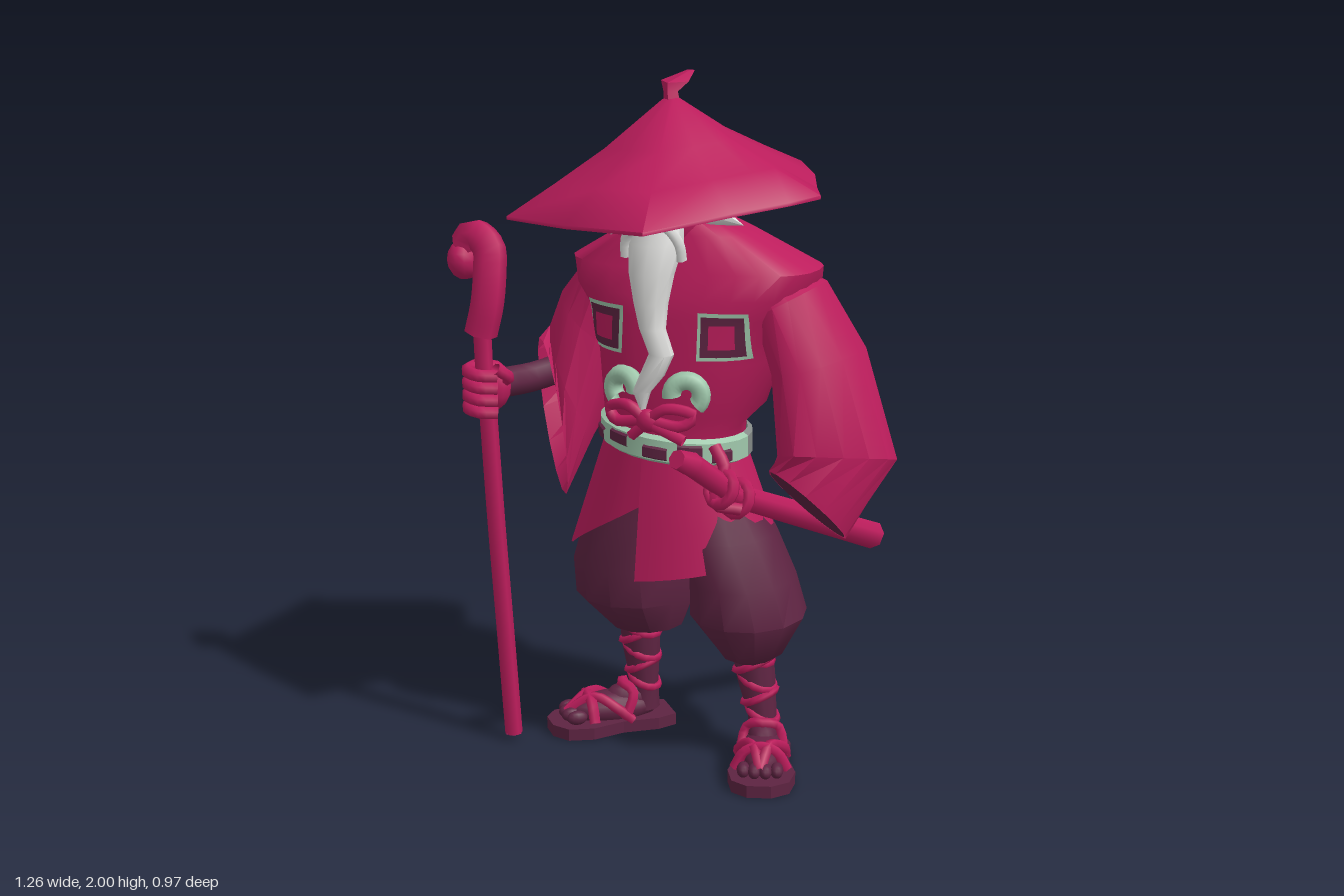
import * as THREE from 'three';
import { toCreasedNormals } from 'three/addons/utils/BufferGeometryUtils.js';

const V = (x, y, z) => new THREE.Vector3(x, y, z);
const PI = Math.PI;

export function createModel() {
  const mat = (name, color) => new THREE.MeshStandardMaterial({ name, color, side: THREE.DoubleSide });
  const red = mat('crimson', 0xbc1d5c), dark = mat('plum', 0x5e2442), white = mat('white hair', 0xdcdcda);
  const green = mat('pale green', 0xa0c8ac), grey = mat('belt grey', 0x858b88);
  const model = new THREE.Group();

  const add = (name, geo, m, parent = model) => {
    const mesh = new THREE.Mesh(geo, m);
    mesh.name = name;
    parent.add(mesh);
    return mesh;
  };

  // Surface through rings of points, listed bottom to top
  function skin(rings, { closed = true, cap = [false, false], crease = 0.75 } = {}) {
    const n = rings[0].length, pos = [], idx = [];
    rings.forEach(r => r.forEach(p => pos.push(p.x, p.y, p.z)));
    for (let i = 0; i < rings.length - 1; i++)
      for (let j = 0; j < (closed ? n : n - 1); j++) {
        const k = (j + 1) % n, a = i * n + j, b = i * n + k, c = a + n, d = b + n;
        idx.push(a, b, d, a, d, c);
      }
    [0, rings.length - 1].forEach((ri, e) => {
      if (!cap[e]) return;
      const mid = rings[ri].reduce((s, p) => s.add(p), V(0, 0, 0)).divideScalar(n), ci = pos.length / 3;
      pos.push(mid.x, mid.y, mid.z);
      for (let j = 0; j < n; j++) {
        const a = ri * n + j, b = ri * n + (j + 1) % n;
        if (e) idx.push(ci, a, b); else idx.push(ci, b, a);
      }
    });
    const g = new THREE.BufferGeometry();
    g.setAttribute('position', new THREE.Float32BufferAttribute(pos, 3));
    g.setIndex(idx);
    return toCreasedNormals(g, crease);
  }

  // Horizontal (super)ellipse ring: section = [y, cx, cz, rx, rz]
  const pw = (v, e) => Math.sign(v) * Math.abs(v) ** e;
  const ring = ([y, cx, cz, rx, rz], n = 14, e = 1) => Array.from({ length: n }, (_, j) => {
    const a = j / n * 2 * PI;
    return V(cx + rx * pw(Math.sin(a), e), y, cz + rz * pw(Math.cos(a), e));
  });
  const column = (secs, n = 14, e = 1, cap = [true, true]) => skin(secs.map(s => ring(s, n, e)), { cap });

  const rope = (pts, r, seg = 20, sides = 6) =>
    new THREE.TubeGeometry(new THREE.CatmullRomCurve3(pts.map(p => V(...p))), seg, r, sides);
  const ball = (name, m, p, s, parent = model) => {
    const b = add(name, new THREE.SphereGeometry(1, 12, 8), m, parent);
    b.position.set(...p);
    b.scale.set(...s);
    return b;
  };

  // Straw hat: irregular tilted rim, slightly hollow slopes, open underneath
  const rim = [[0.13, 0.485], [0.3, 0.29], [0.42, 0.17], [0.48, 0.09], [0.43, -0.02], [0.35, -0.22], [0.23, -0.435],
    [0.15, -0.445], [-0.12, -0.37], [-0.35, -0.29], [-0.38, -0.05], [-0.415, 0.2], [-0.16, 0.355]];
  const hatRing = (t, drop) => rim.map(([x, z]) => {
    const y = 1.657 + 0.11 * x - 0.05 * z;
    return V(x * t, 1.945 + (y - 1.945) * t - drop, z * t);
  });
  add('hat', skin([hatRing(0.05, 0.05), hatRing(0.45, 0.045), hatRing(0.95, 0.025), hatRing(1, 0.01),
    hatRing(1, 0), hatRing(0.7, 0.01), hatRing(0.4, 0.016), hatRing(0.05, 0)], { cap: [true, true], crease: 1.1 }), red);
  add('hatKnot', skin([ring([1.92, 0.005, 0, 0.025, 0.025], 4), ring([1.95, 0, 0, 0.022, 0.022], 4),
    ring([1.975, 0, -0.03, 0.042, 0.05], 4), ring([2, 0.025, -0.085, 0.012, 0.01], 4)],
  { cap: [true, true], crease: 0.3 }), red);

  // Head, face and hair
  ball('head', dark, [0.01, 1.63, -0.02], [0.11, 0.15, 0.12]);
  const face = add('face', new THREE.SphereGeometry(1, 12, 10, 0.15, PI - 0.3, 0.7, 1.9), red);
  face.position.set(0.01, 1.62, -0.015);
  face.scale.set(0.113, 0.15, 0.122);
  ball('nose', red, [0.005, 1.63, 0.115], [0.022, 0.025, 0.025]);
  add('beard', column([[1.08, -0.005, 0.185, 0.008, 0.01], [1.13, -0.01, 0.18, 0.026, 0.024], [1.18, 0.02, 0.175, 0.036, 0.03],
    [1.24, 0.045, 0.168, 0.036, 0.034], [1.31, 0.015, 0.162, 0.038, 0.036], [1.38, 0.006, 0.152, 0.05, 0.042], [1.46, 0.002, 0.138, 0.066, 0.05],
    [1.54, 0.005, 0.112, 0.08, 0.055], [1.6, 0.005, 0.085, 0.07, 0.05]], 10), white);
  for (const s of [-1, 1]) {
    add('moustache', rope([[0.005, 1.6, 0.135], [s * 0.045, 1.595, 0.14], [s * 0.08, 1.55, 0.13], [s * 0.085, 1.5, 0.12]], 0.016, 10), white);
    const tuft = add('hairTuft', new THREE.ConeGeometry(0.055, 0.15, 7), white);
    tuft.position.set(0.01 + s * 0.145, 1.595 + s * 0.015, 0.01);
    tuft.rotation.z = s > 0 ? -1.85 : 2.4;
    ball('eyebrow', white, [0.01 + s * 0.05, 1.67, 0.095], [0.045, 0.015, 0.02]);
  }

  // Robe body with broad shoulder wings and rounded back
  const torso = [[0.93, 0, -0.04, 0.195, 0.17], [1.0, 0, -0.045, 0.2, 0.175], [1.05, 0.015, -0.08, 0.23, 0.215],
    [1.2, 0.03, -0.095, 0.26, 0.24], [1.33, 0.04, -0.11, 0.31, 0.238], [1.39, 0.042, -0.11, 0.355, 0.235],
    [1.46, 0.043, -0.095, 0.37, 0.19], [1.56, 0.035, -0.058, 0.195, 0.13], [1.6, 0.02, -0.045, 0.12, 0.105]];
  add('robeBody', column(torso, 28, 0.8), red);
  const chestZ = (x, y) => {
    const i = Math.max(0, torso.findIndex(s => s[0] > y) - 1), a = torso[i], b = torso[i + 1];
    const f = (y - a[0]) / (b[0] - a[0]), [, cx, cz, rx, rz] = a.map((v, k) => v + (b[k] - v) * f);
    return cz + rz * (1 - Math.min(1, Math.abs((x - cx) / rx)) ** 2.5) ** 0.4;
  };

  // Square chest badges that follow the cloth
  const patch = (name, m, x, y, size, lift) => {
    const g = new THREE.PlaneGeometry(size, size, 5, 5).translate(x, y, 0), p = g.attributes.position;
    for (let i = 0; i < p.count; i++) p.setZ(i, chestZ(p.getX(i), p.getY(i)) + lift);
    g.computeVertexNormals();
    add(name, g, m);
  };
  for (const x of [-0.16, 0.205]) {
    patch('badgeFrame', green, x, 1.29, 0.135, 0.007);
    patch('badgeField', dark, x, 1.29, 0.114, 0.011);
    patch('badgeCentre', red, x, 1.29, 0.068, 0.015);
  }

  // Skirt of the robe, open at the front with an uneven hem
  const hem = [[0, 0.56], [0.12, 0.6], [0.25, 0.67], [0.5, 0.54], [0.75, 0.61], [0.82, 0.59], [1, 0.78]];
  const hemY = u => {
    const i = Math.min(hem.length - 2, Math.max(0, hem.findIndex(h => h[0] >= u) - 1)), [a, b] = [hem[i], hem[i + 1]];
    return a[1] + (b[1] - a[1]) * (u - a[0]) / (b[0] - a[0]);
  };
  add('robeSkirt', skin([1, 0.66, 0.33, 0].map(t => Array.from({ length: 37 }, (_, j) => {
    const u = j / 36, a = -0.1 + u * 2 * PI, y = 0.96 + (hemY(u) - 0.96) * t, f = (0.96 - y) / 0.4;
    return V((0.2 + 0.14 * f) * Math.sin(a) - 0.005, y, -0.04 - 0.025 * f + (0.185 + 0.055 * f) * Math.cos(a));
  })), { closed: false }), red);

  // Belt: green in front with dark marks, grey behind
  const beltArc = (name, m, a0, a1, y0, y1, lift) => add(name, skin([[y0, 0], [y0 + 0.01, 0.015], [y1 - 0.01, 0.015], [y1, 0]].map(([y, o]) =>
    Array.from({ length: 13 }, (_, j) => {
      const a = a0 + (a1 - a0) * j / 12, x = (0.208 + o + lift) * Math.sin(a);
      return V(x, y - 0.1 * x, -0.045 + (0.195 + o + lift) * Math.cos(a));
    })), { closed: false }), m);
  beltArc('beltFront', green, -PI / 2, PI / 2, 0.92, 1.0, 0);
  beltArc('beltBack', grey, PI / 2, PI * 1.5, 0.92, 1.0, 0);
  [-0.95, -0.45, 0.1, 0.55, 1].forEach((a, i) =>
    beltArc('beltMark', dark, a - 0.16, a + 0.16, 0.928 + (i % 2) * 0.015, 0.975 + (i % 2) * 0.015, 0.006));

  // Bow with green loops and a crimson cord
  for (const s of [-1, 1]) {
    const loop = add('bowLoop', new THREE.TorusGeometry(0.042, 0.027, 8, 14, PI * 1.3), green);
    loop.position.set(0.018 + s * 0.095, 1.125, 0.15);
    loop.rotation.set(0, s * 0.3, s > 0 ? -0.8 : -0.1);
    add('cord', rope([[0.01, 1.05, 0.19], [0.01 + s * 0.06, 1.09, 0.19], [0.015 + s * 0.13, 1.07, 0.165], [0.01 + s * 0.1, 1.04, 0.18],
      [0.01, 1.05, 0.19], [0.04 + s * 0.08, 1.0, 0.185]], 0.017), red);
  }
  ball('cordKnot', red, [0.01, 1.05, 0.19], [0.034, 0.034, 0.024]);

  // Sleeves: each section is centre, outward axis and front axis
  const sleeve = secs => secs.map(([c, u, v]) => Array.from({ length: 14 }, (_, j) => {
    const a = j / 14 * 2 * PI;
    return V(...c).addScaledVector(V(...u), Math.sin(a)).addScaledVector(V(...v), Math.cos(a));
  }));
  const left = sleeve([
    [[0.425, 0.8, 0.005], [0.105, -0.065, 0], [-0.02, 0.09, 0.1]],
    [[0.49, 0.93, -0.06], [0.142, -0.01, -0.08], [-0.01, 0.04, 0.15]],
    [[0.42, 1.2, -0.085], [0.115, 0.03, -0.05], [0, 0, 0.155]],
    [[0.33, 1.37, -0.095], [0.09, 0.05, -0.01], [0, 0, 0.15]],
    [[0.25, 1.43, -0.1], [0.05, 0.04, 0], [0, 0, 0.09]]]);
  add('leftSleeve', skin(left, { cap: [false, true], crease: 0.6 }), red);
  add('leftSleeveLining', skin([left[0].map(p => p.clone().lerp(V(0.425, 0.8, 0.005), 0.04))], { cap: [true, false] }), dark);
  add('rightSleeve', skin(sleeve([
    [[-0.39, 0.965, -0.025], [-0.035, 0.235, 0], [0.075, 0, 0.09]],
    [[-0.35, 1.08, -0.1], [-0.085, 0.15, -0.02], [0.04, 0, 0.155]],
    [[-0.3, 1.25, -0.14], [-0.1, 0.08, 0], [0.02, 0, 0.15]],
    [[-0.23, 1.39, -0.13], [-0.07, 0.06, 0], [0, 0, 0.13]]]), { cap: [false, true], crease: 0.6 }), red);
  add('rightForearm', rope([[-0.3, 1.14, -0.12], [-0.43, 1.09, 0], [-0.49, 1.09, 0.12]], 0.045, 8, 8), dark);

  // Walking staff and the hand around it
  add('staff', rope([[-0.445, 0.02, 0.155], [-0.462, 0.35, 0.165], [-0.478, 0.7, 0.18], [-0.49, 1.0, 0.19], [-0.505, 1.24, 0.19], [-0.5, 1.32, 0.19]], 0.026, 18), red);
  const disc = new THREE.CircleGeometry(0.026, 6).rotateX(PI / 2);
  add('staffFoot', disc, red).position.set(-0.445, 0.02, 0.155);
  add('staffHook', rope([[-0.51, 1.25, 0.19], [-0.49, 1.34, 0.185], [-0.488, 1.43, 0.17], [-0.5, 1.495, 0.15], [-0.55, 1.53, 0.14], [-0.582, 1.49, 0.14]], 0.048, 18, 6), red);
  ball('hookEnd', red, [-0.582, 1.455, 0.138], [0.05, 0.06, 0.065]);
  ball('rightPalm', red, [-0.5, 1.09, 0.145], [0.058, 0.075, 0.05]);
  for (let i = 0; i < 4; i++)
    add('finger', rope([[-0.54, 1.15 - i * 0.036, 0.15], [-0.545, 1.145 - i * 0.036, 0.21], [-0.5, 1.14 - i * 0.036, 0.24], [-0.45, 1.135 - i * 0.036, 0.21]], 0.02, 10), red);
  add('thumb', rope([[-0.47, 1.1, 0.13], [-0.43, 1.13, 0.18], [-0.45, 1.16, 0.22]], 0.018, 8), red);

  // Sheathed sword tucked into the belt
  const rod = (name, a, b, r0, r1) => {
    const d = V(...b).sub(V(...a)), m = add(name, new THREE.CylinderGeometry(r1, r0, d.length(), 7), red);
    m.position.set(...a).addScaledVector(d, 0.5);
    m.quaternion.setFromUnitVectors(V(0, 1, 0), d.normalize());
    return m;
  };
  rod('scabbard', [0.24, 0.85, 0.14], [0.465, 0.575, -0.465], 0.034, 0.042);
  rod('swordGrip', [0.25, 0.84, 0.12], [0.185, 0.965, 0.28], 0.032, 0.034);
  rod('swordPommel', [0.185, 0.965, 0.28], [0.165, 0.995, 0.34], 0.036, 0.028);
  for (const t of [-0.03, 0.03]) {
    const k = add('swordCord', new THREE.TorusGeometry(0.045, 0.018, 6, 12), red);
    k.position.set(0.24 - t * 0.4, 0.85 + t * 0.7, 0.14 + t);
    k.lookAt(0.465, 0.575, -0.465);
  }
  add('swordTie', rope([[0.19, 0.98, 0.13], [0.23, 0.92, 0.15], [0.21, 0.83, 0.18], [0.28, 0.81, 0.15]], 0.018, 12), red);

  // Baggy trousers
  add('rightTrouser', column([[0.325, -0.15, -0.11, 0.07, 0.08], [0.34, -0.12, -0.105, 0.11, 0.12], [0.44, -0.15, -0.095, 0.18, 0.19],
    [0.55, -0.155, -0.085, 0.178, 0.19], [0.7, -0.13, -0.06, 0.15, 0.17], [0.92, -0.06, -0.04, 0.1, 0.13]], 12), dark);
  add('leftTrouser', column([[0.305, 0.25, -0.03, 0.06, 0.08], [0.325, 0.25, -0.03, 0.09, 0.12], [0.44, 0.233, -0.035, 0.168, 0.19],
    [0.55, 0.215, -0.035, 0.15, 0.185], [0.68, 0.15, -0.04, 0.155, 0.17], [0.92, 0.06, -0.04, 0.1, 0.13]], 12), dark);

  // Legs, wrapped shins, feet and sandals
  const soleShape = new THREE.Shape([[-0.06, -0.19], [0.06, -0.19], [0.08, -0.13], [0.075, -0.02], [0.1, 0.08],
    [0.085, 0.155], [0.035, 0.19], [-0.035, 0.19], [-0.08, 0.155], [-0.095, 0.08], [-0.075, -0.02], [-0.08, -0.13]]
    .map(([x, y]) => new THREE.Vector2(x, -y)));
  const sole = new THREE.ExtrudeGeometry(soleShape, { depth: 0.036, bevelEnabled: false }).rotateX(-PI / 2);
  for (const [side, x, z, yaw, topX, topZ] of [['left', 0.325, 0.085, 0.33, 0.245, -0.03], ['right', -0.225, -0.06, -0.85, -0.155, -0.12]]) {
    const ax = x - 0.11 * Math.sin(yaw), az = z - 0.11 * Math.cos(yaw);
    const at = t => [topX + (ax - topX) * t, topZ + (az - topZ) * t];
    add(side + 'Shin', column([[0.05, ...at(1), 0.045, 0.05], [0.13, ...at(0.9), 0.042, 0.045], [0.24, ...at(0.4), 0.056, 0.062],
      [0.35, ...at(0), 0.062, 0.066]], 10), dark);
    [0.14, 0.19, 0.24, 0.29, 0.32].forEach((y, i) => {
      const t = (0.34 - y) / 0.22, [sx, sz] = at(Math.min(1, t));
      const wrap = add(side + 'ShinWrap', new THREE.TorusGeometry(0.065 - 0.02 * t, 0.012, 5, 14), red);
      wrap.position.set(sx, y, sz);
      wrap.rotation.set(PI / 2, (i % 2 ? 1 : -1) * 0.45, 0);
    });
    const foot = new THREE.Group();
    foot.name = side + 'Foot';
    foot.position.set(x, 0, z);
    foot.rotation.y = yaw;
    model.add(foot);
    add('sandalSole', sole, dark, foot);
    ball('footBody', dark, [0, 0.06, -0.01], [0.062, 0.052, 0.145], foot);
    ball('instep', dark, [0, 0.085, -0.06], [0.045, 0.05, 0.08], foot);
    for (let i = 0; i < 4; i++)
      ball('toe', dark, [-0.048 + i * 0.032, 0.055, 0.13 - Math.abs(i - 1.5) * 0.008], [0.019, 0.022, 0.032], foot);
    for (const s of [-1, 1])
      add('sandalStrap', rope([[0, 0.06, 0.14], [s * 0.025, 0.108, 0.06], [s * 0.062, 0.078, 0], [s * 0.07, 0.035, -0.05]], 0.016, 10, 5), red, foot);
    add('heelStrap', rope([[-0.066, 0.04, -0.03], [-0.047, 0.115, -0.06], [0, 0.135, -0.035], [0.047, 0.115, -0.06], [0.066, 0.04, -0.03]], 0.016, 14, 5), red, foot);
    add('toeStrap', rope([[-0.076, 0.04, 0.07], [-0.047, 0.09, 0.07], [0, 0.107, 0.07], [0.047, 0.09, 0.07], [0.076, 0.04, 0.07]], 0.017, 14, 5), red, foot);
  }
  return model;
}
